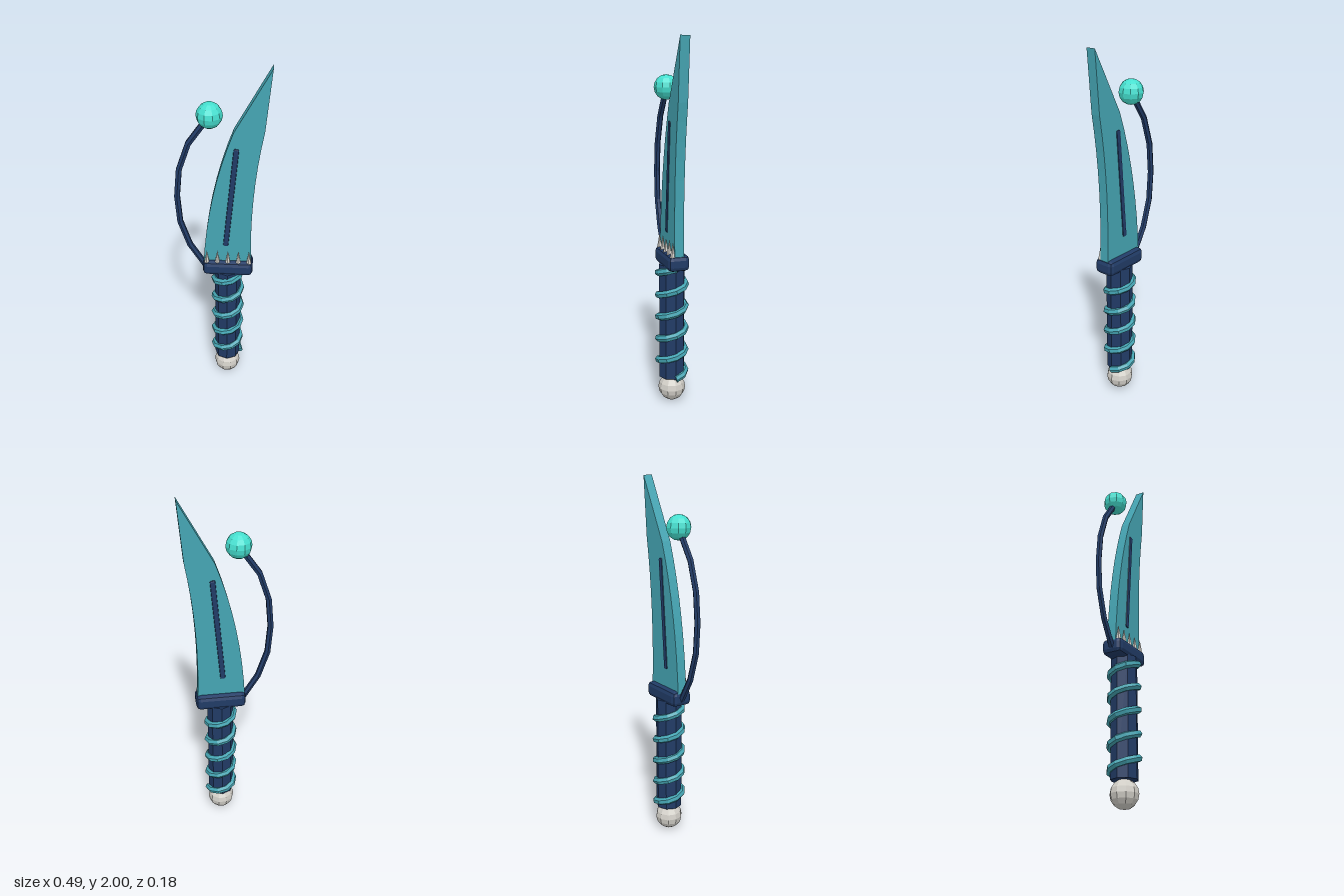
import * as THREE from 'three';
import { RoundedBoxGeometry } from 'three/addons/geometries/RoundedBoxGeometry.js';

const material = (name, color) =>
  new THREE.MeshStandardMaterial({ name, color, flatShading: true });

export function createModel() {
  const teal = material('teal steel', 0x45a5b3);
  const navy = material('navy', 0x213b66);
  const silver = material('pale silver', 0xd2cfc8);
  const turquoise = material('turquoise gem', 0x45dfcf);

  const model = new THREE.Group();
  model.name = 'dagger';
  const add = (name, geometry, mat, x = 0, y = 0, z = 0) => {
    const mesh = new THREE.Mesh(geometry, mat);
    mesh.name = name;
    mesh.position.set(x, y, z);
    model.add(mesh);
    return mesh;
  };
  const gripX = 0.037;

  // Blade: curved outline ending in a slanted point
  const outline = new THREE.Shape();
  outline.moveTo(0.166, 0.84);
  outline.quadraticCurveTo(0.145, 1.29, 0.214, 1.675);
  outline.lineTo(0.241, 2.0);
  outline.lineTo(0.06, 1.664);
  outline.quadraticCurveTo(-0.075, 1.3, -0.098, 0.84);
  outline.closePath();
  add('blade', new THREE.ExtrudeGeometry(outline, {
    depth: 0.052, bevelEnabled: false, curveSegments: 8,
  }), teal, 0, 0, -0.026);

  // Dark ridge showing on both faces of the blade
  const ridge = add('bladeRidge', new RoundedBoxGeometry(0.03, 0.605, 0.064, 1, 0.008),
    navy, 0.05, 1.275, 0);
  ridge.rotation.z = -0.085;

  // Guard, grip and pommel
  add('guard', new RoundedBoxGeometry(0.277, 0.086, 0.118, 1, 0.024), navy, gripX, 0.829, 0);
  add('grip', new THREE.CylinderGeometry(0.073, 0.073, 0.655, 8), navy, gripX, 0.472, 0);
  add('pommel', new THREE.SphereGeometry(0.076, 10, 8), silver, gripX, 0.076, 0);

  // Cord winding five times round the grip
  const turns = 5;
  const helix = new THREE.Curve();
  helix.getPoint = (t, target = new THREE.Vector3()) => {
    const a = t * turns * Math.PI * 2;
    return target.set(0.075 * Math.cos(a), 0.15 + 0.637 * t, -0.075 * Math.sin(a));
  };
  add('gripCord', new THREE.TubeGeometry(helix, turns * 10, 0.02, 6), teal, gripX);
  // Cap closing the lower end of the cord
  const cap = add('cordEnd', new THREE.CircleGeometry(0.02, 6), teal, gripX + 0.075, 0.15, 0);
  cap.lookAt(gripX + 0.075, 0.15 - 0.02, 0.075);

  // Row of spikes along the front of the guard
  for (let i = 0; i < 5; i++) {
    add('guardSpike', new THREE.ConeGeometry(0.015, 0.08, 6), silver,
      gripX + (i - 2) * 0.058, 0.905, 0.034);
  }

  // Curved arm rising beside the blade to a gem
  const arm = new THREE.CatmullRomCurve3([
    [-0.09, 0.82], [-0.185, 0.985], [-0.228, 1.15], [-0.23, 1.335],
    [-0.2, 1.515], [-0.15, 1.616], [-0.075, 1.72],
  ].map(([x, y]) => new THREE.Vector3(x, y, 0)));
  add('sideArm', new THREE.TubeGeometry(arm, 6, 0.017, 6), navy);
  add('armGem', new THREE.SphereGeometry(0.067, 10, 8), turquoise, -0.06, 1.745, 0);

  return model;
}
